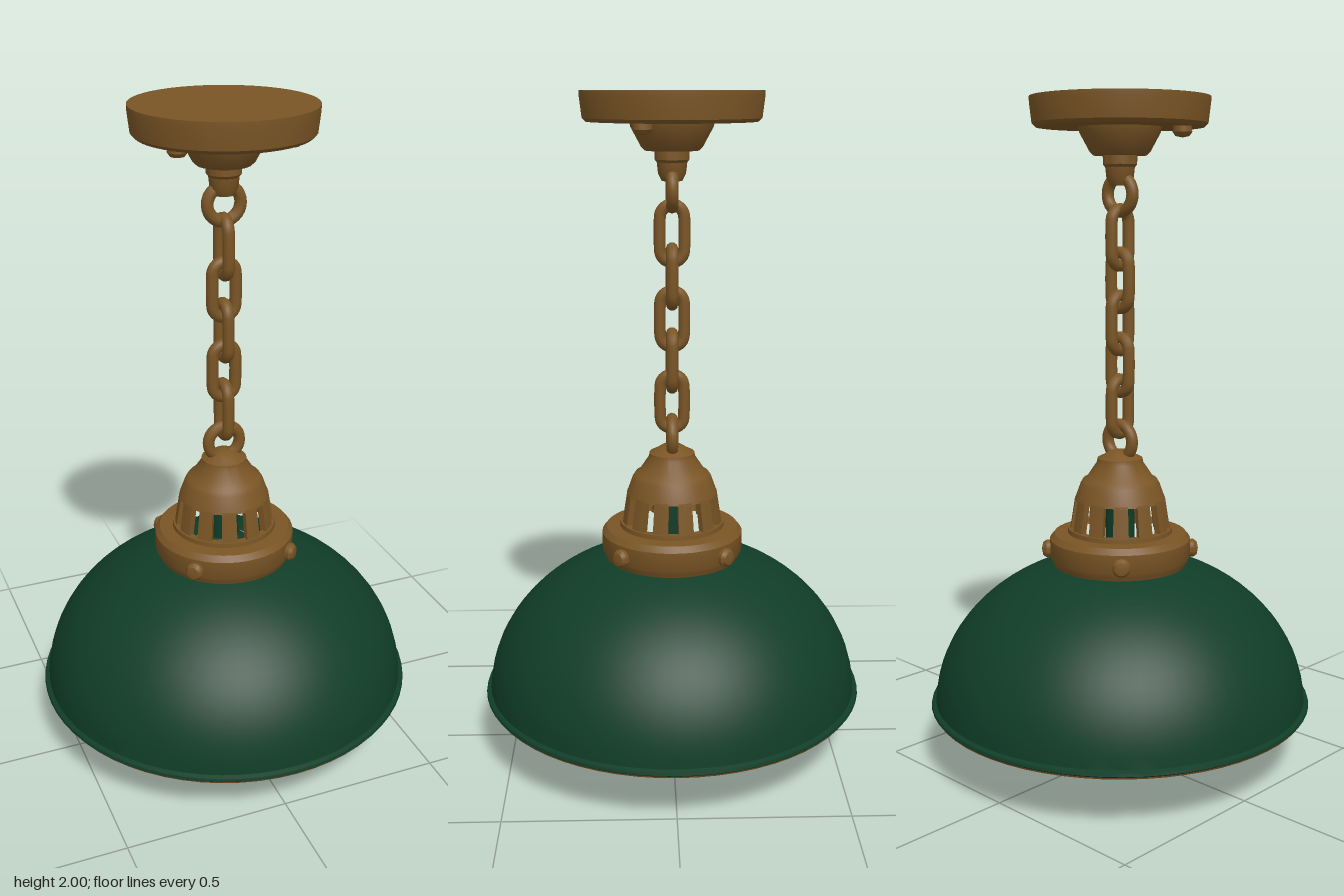
import * as THREE from 'three';
import { toCreasedNormals } from 'three/addons/utils/BufferGeometryUtils.js';

const mat = (name, color, side = THREE.FrontSide) => {
  const m = new THREE.MeshStandardMaterial({ color, side });
  m.name = name;
  return m;
};

export function createModel() {
  const brass = mat('aged brass', 0x7a5525);
  const green = mat('green enamel', 0x103d28);
  const white = mat('white enamel', 0xdcd6d0);
  const glass = mat('warm bulb glass', 0xd6ac72);

  const model = new THREE.Group();
  model.name = 'pendantLamp';

  const add = (name, geometry, material, parent = model) => {
    const mesh = new THREE.Mesh(geometry, material);
    mesh.name = name;
    parent.add(mesh);
    return mesh;
  };
  // Turned part from [radius, height] pairs; ascending heights face outward
  const turned = (name, pts, material, segments = 48, crease = 0.6) =>
    add(name, toCreasedNormals(new THREE.LatheGeometry(
      pts.map(([r, y]) => new THREE.Vector2(r, y)), segments), crease), material);
  const group = (name) => {
    const g = new THREE.Group();
    g.name = name;
    model.add(g);
    return g;
  };

  // Ceiling canopy with stepped hub
  turned('ceilingCanopy', [[0, 1.915], [0.245, 1.915], [0.255, 1.925], [0.262, 1.985], [0.262, 2], [0, 2]], brass);
  turned('canopyHub', [[0, 1.8], [0.042, 1.8], [0.05, 1.81], [0.05, 1.835], [0.078, 1.835], [0.088, 1.845],
    [0.118, 1.9], [0.122, 1.918]], brass, 32);
  turned('canopyHook', [[0, 1.75], [0.03, 1.75], [0.04, 1.77], [0.044, 1.805]], brass, 20);

  // Round screw head whose axis is +y before rotation
  const screwHead = toCreasedNormals(new THREE.LatheGeometry(
    [[0.026, -0.012], [0.028, 0.01], [0.02, 0.021], [0, 0.025]].map(p => new THREE.Vector2(...p)), 14), 0.7);
  const canopyScrews = group('canopyScrews');
  for (const s of [-1, 1]) {
    const screw = add('canopyScrew', screwHead, brass, canopyScrews);
    screw.position.set(s * 0.165, 1.908, 0.085);
    screw.rotation.x = Math.PI;
  }

  // Chain: a ring at each end, stretched links alternating by a quarter turn
  const chain = group('chain');
  const wire = 0.018;
  const ringGeometry = new THREE.TorusGeometry(0.05, wire, 10, 28);
  add('topRing', ringGeometry, brass, chain).position.y = 1.725;
  add('bottomRing', ringGeometry, brass, chain).position.y = 0.995;
  const linkPath = new THREE.CurvePath();
  const bend = 0.035, half = 0.047;
  const loop = [];
  for (let i = 0; i < 24; i++) {
    const a = ((i + 0.5) / 24) * Math.PI * 2;
    loop.push(new THREE.Vector3(Math.cos(a) * bend, Math.sin(a) * bend + Math.sign(Math.sin(a)) * half, 0));
  }
  const linkGeometry = new THREE.TubeGeometry(new THREE.CatmullRomCurve3(loop, true), 56, wire, 10, true);
  for (let i = 0; i < 5; i++) {
    const link = add('chainLink', linkGeometry, brass, chain);
    link.position.y = 1.6 - i * 0.125;
    link.rotation.y = i % 2 ? 0 : Math.PI / 2;
  }

  // Vented cap: upper dome, slotted wall and base ring
  turned('ventCap', [[0.118, 0.815], [0.138, 0.815], [0.12, 0.865], [0.112, 0.878], [0.1, 0.885], [0.07, 0.93],
    [0.068, 0.943], [0.05, 0.952], [0.03, 0.965], [0, 0.968]], brass);
  turned('ventCapLining', [[0, 0.86], [0.105, 0.86], [0.118, 0.815]].reverse(), brass);
  const ribs = group('ventRibs');
  const rib = new THREE.BoxGeometry(1, 1, 1, 3, 1, 1);
  const p = rib.attributes.position;
  for (let i = 0; i < p.count; i++) {
    const t = p.getY(i) + 0.5;
    const angle = p.getX(i) * 0.31;
    const radius = 0.155 - 0.018 * t + (p.getZ(i) - 0.5) * 0.02;
    p.setXYZ(i, Math.sin(angle) * radius, 0.705 + 0.115 * t, Math.cos(angle) * radius);
  }
  rib.computeVertexNormals();
  for (let i = 0; i < 12; i++) {
    add('ventRib', rib, brass, ribs).rotation.y = (i + 0.5) * Math.PI / 6;
  }
  turned('ventBase', [[0.135, 0.7], [0.16, 0.7], [0.158, 0.728], [0.135, 0.728]], brass);

  // Collar clamping the shade, with four screws on the diagonals
  turned('collar', [[0.2, 0.61], [0.206, 0.625], [0.214, 0.64], [0.214, 0.695], [0.2, 0.712], [0.13, 0.716]], brass);
  const collarScrews = group('collarScrews');
  for (let i = 0; i < 4; i++) {
    const holder = new THREE.Group();
    holder.name = 'collarScrewMount';
    holder.rotation.y = Math.PI / 4 + i * Math.PI / 2;
    collarScrews.add(holder);
    const screw = add('collarScrew', screwHead, brass, holder);
    screw.position.set(0, 0.66, 0.214);
    screw.rotation.x = Math.PI / 2;
  }

  // Domed shade: green outside, white inside, thin brass edge
  const dome = (r, h, rTop) => {
    const end = Math.acos(rTop / r);
    return Array.from({ length: 19 }, (_, i) => {
      const a = 0.04 + (end - 0.04) * i / 18;
      return [r * Math.cos(a), 0.18 + h * Math.sin(a)];
    });
  };
  turned('shadeOuter', [[0.578, 0.18], [0.584, 0.186], [0.582, 0.194], ...dome(0.57, 0.465, 0.1)], green, 64);
  turned('shadeInner', [[0.568, 0.18], ...dome(0.558, 0.453, 0.05)].reverse(), white, 64);
  turned('shadeEdge', [[0.567, 0.181], [0.569, 0.176], [0.577, 0.176], [0.58, 0.182]], brass, 64);

  // Lamp holder and bulb
  turned('socket', [[0, 0.262], [0.09, 0.262], [0.09, 0.64], [0.045, 0.68], [0.042, 0.86]], green, 32);
  turned('socketLip', [[0.07, 0.243], [0.09, 0.243], [0.093, 0.25], [0.093, 0.264], [0.085, 0.266]], brass, 32);
  const bulb = Array.from({ length: 15 }, (_, i) => {
    const a = -Math.PI / 2 + i * 2.42 / 14;
    return [Math.max(0, 0.123 * Math.cos(a)), 0.123 + 0.123 * Math.sin(a)];
  });
  turned('bulb', [...bulb, [0.076, 0.25], [0.075, 0.27]], glass, 32, 0.8);

  return model;
}
